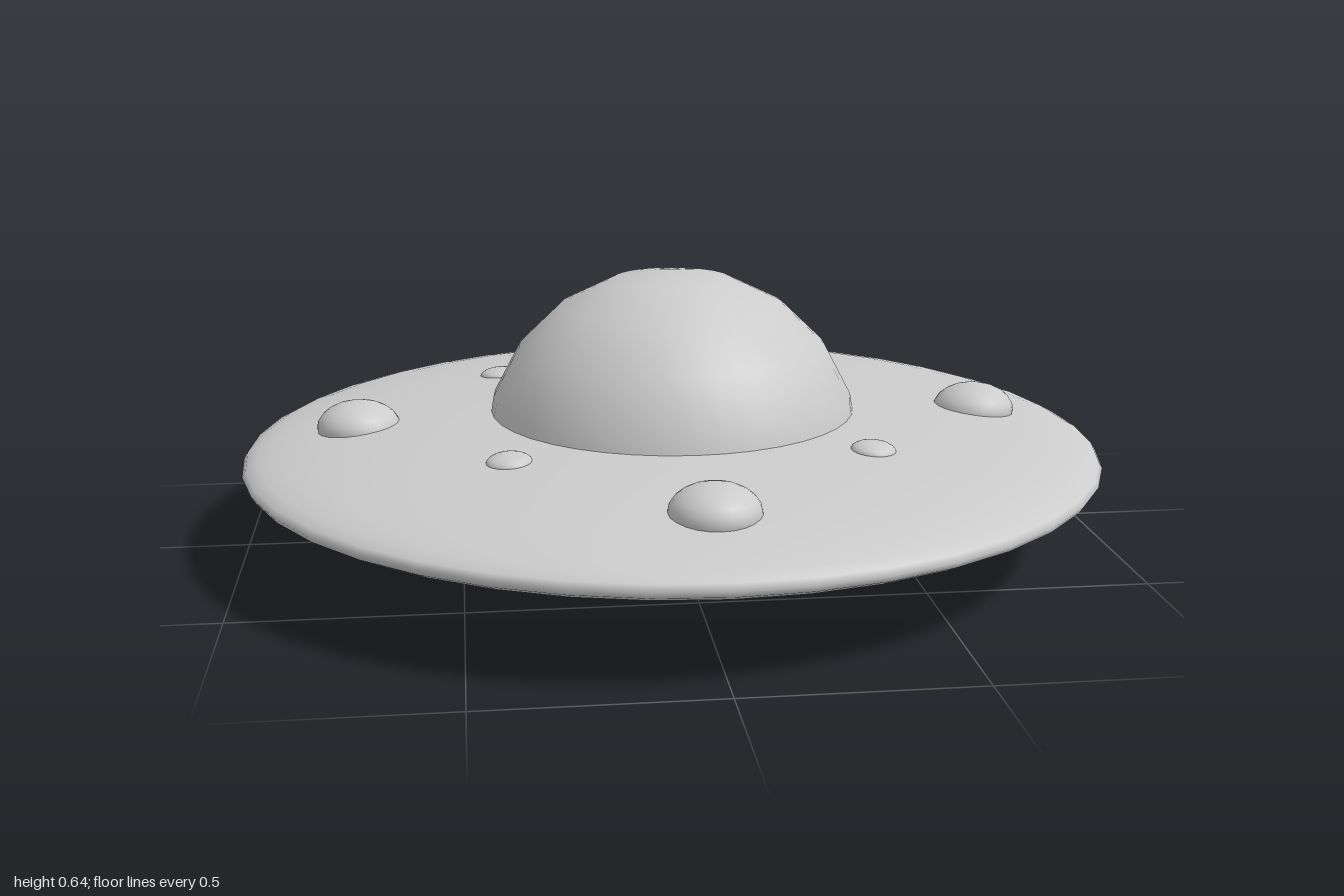
import * as THREE from 'three';

const grey = new THREE.MeshStandardMaterial({ color: 0xcccccc });

// Places a unit sphere geometry as an ellipsoid: centre, horizontal radius, vertical radius
function ellipsoid(name, geometry, [x, y, z], r, ry) {
  const mesh = new THREE.Mesh(geometry.scale(r, ry, r), grey);
  mesh.name = name;
  mesh.position.set(x, y, z);
  return mesh;
}

export function createModel() {
  const saucer = new THREE.Group();
  saucer.name = 'flyingSaucer';

  // Flat disc, with half-spheres for the cabin dome above and the belly below
  const full = new THREE.SphereGeometry(1, 40, 24);
  const upperHalf = new THREE.SphereGeometry(1, 40, 5, 0, Math.PI * 2, 0, Math.PI / 2);
  const lowerHalf = new THREE.SphereGeometry(1, 40, 8, 0, Math.PI * 2, Math.PI / 2, Math.PI / 2);
  saucer.add(ellipsoid('disc', full, [0, 0.216, 0], 1, 0.106));
  saucer.add(ellipsoid('dome', upperHalf, [0, 0.215, 0], 0.442, 0.425));
  saucer.add(ellipsoid('belly', lowerHalf, [0, 0.212, 0], 0.45, 0.208));

  // Four of each kind of light, spaced evenly around the disc
  const rings = [
    { name: 'largeLight', distance: 0.734, y: 0.284, r: 0.096, ry: 0.061, turn: 0, tilt: 0 },
    { name: 'smallLight', distance: 0.561, y: 0.302, r: 0.05, ry: 0.02, turn: Math.PI / 4, tilt: -0.07 },
    { name: 'undersideLight', distance: 0.74, y: 0.145, r: 0.098, ry: 0.021, turn: Math.PI / 4, tilt: 0.11 },
  ];
  for (const { name, distance, y, r, ry, turn, tilt } of rings) {
    const ring = new THREE.Group();
    ring.name = name + 's';
    for (let i = 0; i < 4; i++) {
      const a = turn + (i * Math.PI) / 2;
      const centre = [distance * Math.cos(a), y, distance * Math.sin(a)];
      const light = ellipsoid(name, new THREE.SphereGeometry(1, 24, 12), centre, r, ry);
      // Flat lights follow the slope of the disc
      light.rotation.set(-tilt * Math.sin(a), 0, tilt * Math.cos(a));
      ring.add(light);
    }
    saucer.add(ring);
  }
  return saucer;
}
